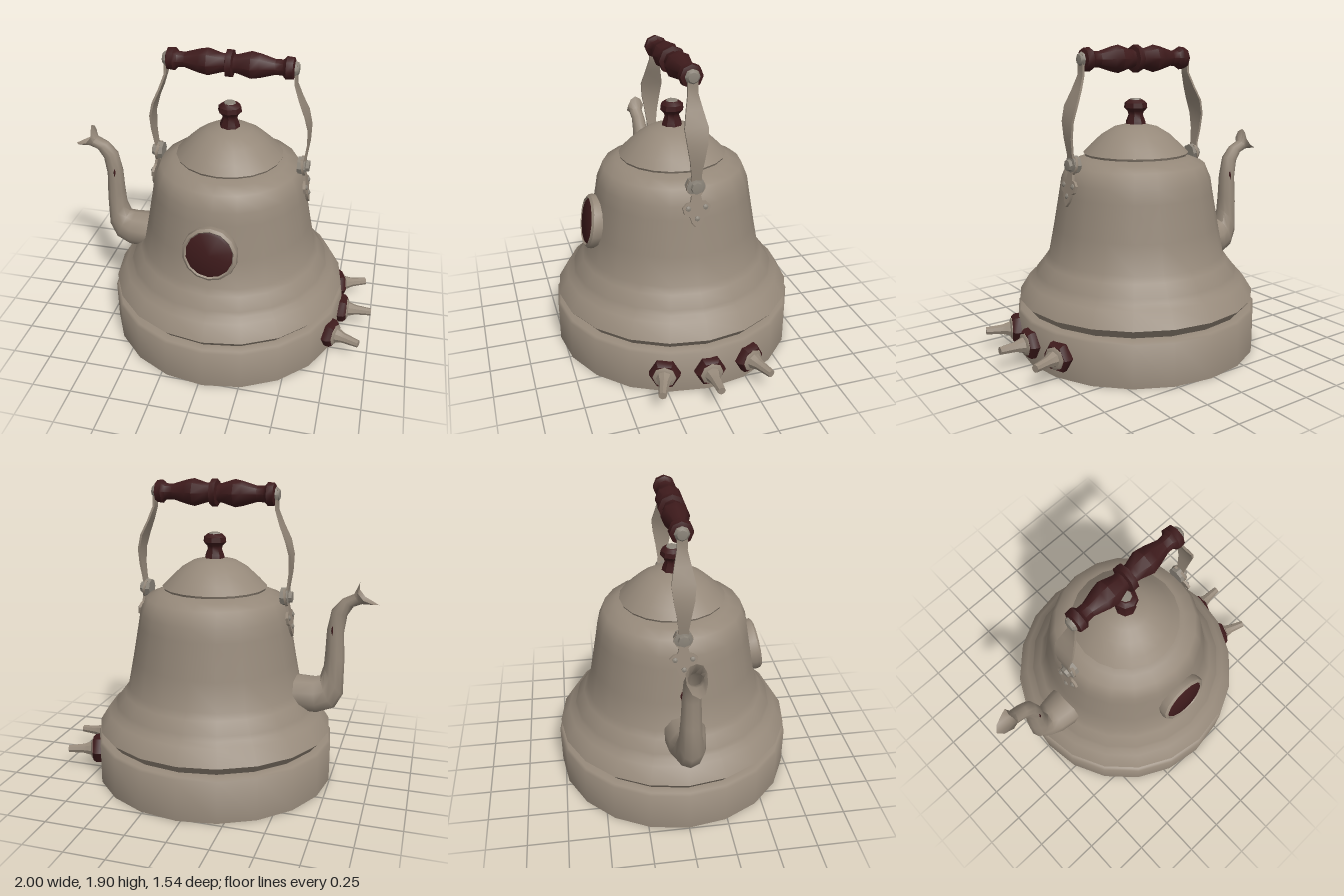
import * as THREE from 'three';
import { toCreasedNormals } from 'three/addons/utils/BufferGeometryUtils.js';

const enamel = new THREE.MeshStandardMaterial({ color: 0x96897a, side: THREE.DoubleSide });
const wood = new THREE.MeshStandardMaterial({ color: 0x3d1a1b });
const steel = new THREE.MeshStandardMaterial({ color: 0x8c857a });

function add(parent, name, geometry, material, crease = 0.7) {
  const mesh = new THREE.Mesh(toCreasedNormals(geometry, crease), material);
  mesh.name = name;
  parent.add(mesh);
  return mesh;
}

function group(parent, name) {
  const g = new THREE.Group();
  g.name = name;
  parent.add(g);
  return g;
}

// Profile is a list of [radius, height], bottom to top
function lathe(profile, sides) {
  return new THREE.LatheGeometry(profile.map(([r, y]) => new THREE.Vector2(r, y)), sides);
}

// Skin a series of rings that all have the same number of points
function loft(rings, capped) {
  const n = rings[0].length, index = [];
  for (let i = 0; i < rings.length - 1; i++) {
    for (let j = 0; j < n; j++) {
      const a = i * n + j, b = i * n + (j + 1) % n;
      index.push(a, b, a + n, b, b + n, a + n);
    }
  }
  if (capped) {
    const e = (rings.length - 1) * n;
    for (let j = 1; j < n - 1; j++) index.push(0, j + 1, j, e, e + j, e + j + 1);
  }
  const g = new THREE.BufferGeometry();
  g.setAttribute('position', new THREE.Float32BufferAttribute(rings.flat(2), 3));
  g.setIndex(index);
  g.computeVertexNormals();
  return g;
}

// Spout: each row is [outer x, outer y, inner x, inner y, half width]
function spoutGeometry() {
  const rows = [
    [-0.46, 0.45, -0.46, 0.7, 0.13], [-0.57, 0.47, -0.53, 0.7, 0.13],
    [-0.66, 0.465, -0.63, 0.7, 0.115], [-0.76, 0.505, -0.665, 0.71, 0.09],
    [-0.81, 0.6, -0.685, 0.78, 0.072], [-0.81, 0.82, -0.69, 0.87, 0.062],
    [-0.8, 1.0, -0.695, 1.01, 0.055], [-0.815, 1.11, -0.72, 1.14, 0.05],
    [-0.85, 1.165, -0.78, 1.21, 0.045], [-0.9, 1.185, -0.85, 1.245, 0.045],
    [-1.0, 1.185, -0.885, 1.325, 0.06],
  ];
  const sides = 10;
  return loft(rows.map(([ox, oy, ix, iy, w], k) => {
    const dip = k === rows.length - 1 ? 0.055 : 0; // the mouth is cut back at its sides
    return Array.from({ length: sides }, (_, j) => {
      const a = j / sides * Math.PI * 2, c = Math.cos(a), s = Math.sin(a);
      return [(ox + ix) / 2 + (ox - ix) / 2 * c + dip * s * s - 0.025,
        (oy + iy) / 2 + (oy - iy) / 2 * c - dip * 0.3 * s * s, w * s];
    });
  }), false);
}

// One side of the carrying handle, on +x
function handleSide(parent, name) {
  const side = group(parent, name);

  const t = 0.007;
  const strap = [[0.392, 1.85, 0.03], [0.39, 1.79, 0.03], [0.392, 1.73, 0.03], [0.425, 1.64, 0.05],
    [0.465, 1.55, 0.07], [0.488, 1.46, 0.06], [0.487, 1.36, 0.042], [0.475, 1.27, 0.03], [0.462, 1.18, 0.035]];
  add(side, 'strap', loft(strap.map(([x, y, w]) =>
    [[x - t, y, -w], [x + t, y, -w], [x + t, y, w], [x - t, y, w]]), true), enamel);

  const bolt = add(side, 'gripBolt', lathe([[0, -0.03], [0.045, -0.03], [0.045, 0.005], [0.03, 0.022], [0, 0.026]], 8), steel);
  bolt.rotation.z = -Math.PI / 2;
  bolt.position.set(0.385, 1.82, 0);

  // Bracket plate lying against the wall
  const bracket = group(side, 'bracket');
  bracket.position.set(0.472, 1.1, 0);
  bracket.rotation.z = 0.17;
  const half = [[0.035, 0.15], [0.057, 0.11], [0.055, 0.08], [0.028, 0.045], [0.035, 0.01], [0.06, 0.005],
    [0.085, -0.02], [0.075, -0.06], [0.045, -0.075], [0.03, -0.12], [0, -0.155]];
  const outline = [...half, ...half.slice(0, -1).reverse().map(([z, y]) => [-z, y])];
  const plate = add(bracket, 'bracketPlate', new THREE.ExtrudeGeometry(
    new THREE.Shape(outline.map(([z, y]) => new THREE.Vector2(z, y))), { depth: 0.016, bevelEnabled: false }), enamel);
  plate.rotation.y = Math.PI / 2;
  for (const [y, z, r] of [[-0.025, 0.052, 0.016], [-0.025, -0.052, 0.016], [-0.09, 0, 0.016]]) {
    const rivet = add(bracket, 'rivet', lathe([[r, 0], [r, 0.022], [0, 0.03]], 8), steel);
    rivet.rotation.z = -Math.PI / 2;
    rivet.position.set(0, y, z);
  }
  const pivot = add(side, 'pivot', lathe(
    [[0, -0.03], [0.055, -0.03], [0.057, 0.018], [0.036, 0.022], [0.034, 0.042], [0, 0.046]], 8), steel);
  pivot.rotation.z = -Math.PI / 2;
  pivot.position.set(0.458, 1.2, 0);
  return side;
}

export function createModel() {
  const model = new THREE.Group();
  model.name = 'kettle';
  const k = group(model, 'kettleParts');
  k.position.x = 0.025;

  // Body with its base band and rolled collar
  add(k, 'body', lathe([[0, 0], [0.77, 0], [0.77, 0.262], [0.755, 0.275], [0.71, 0.282], [0.757, 0.338],
    [0.695, 0.437], [0.655, 0.46], [0.645, 0.49], [0.59, 0.56], [0.562, 0.6], [0.527, 0.78], [0.488, 1.0], [0.475, 1.08],
    [0.435, 1.175], [0.36, 1.205], [0.3, 1.222], [0, 1.222]], 20), enamel, 0.9);

  // Lid and its knob
  add(k, 'lid', lathe([[0, 1.228], [0.325, 1.228], [0.332, 1.242], [0.28, 1.295], [0.215, 1.355],
    [0.14, 1.4], [0.06, 1.42], [0, 1.422]], 20), enamel);
  add(k, 'lidKnob', lathe([[0.068, 1.4], [0.06, 1.44], [0.046, 1.475], [0.05, 1.495],
    [0.074, 1.52], [0.07, 1.55], [0.045, 1.57], [0, 1.57]], 8), wood);
  add(k, 'lidKnobCap', lathe([[0.04, 1.565], [0.034, 1.577], [0, 1.579]], 8), steel);

  // Spout with a small wooden inlay on both cheeks
  add(k, 'spout', spoutGeometry(), enamel, 0.9);
  const inlay = add(k, 'spoutInlay', new THREE.SphereGeometry(1, 8, 6), wood);
  inlay.scale.set(0.014, 0.055, 0.062);
  inlay.position.set(-0.76, 1.015, 0);

  // Round badge on the front wall
  const badge = group(k, 'badge');
  badge.position.set(0, 0.83, 0.515);
  badge.rotation.x = Math.PI / 2 - 0.175;
  add(badge, 'badgeFrame', lathe([[0.16, -0.05], [0.172, 0.01], [0.168, 0.035], [0.152, 0.048], [0.138, 0.03]], 14), enamel);
  add(badge, 'badgeFace', lathe([[0.147, 0.036], [0.13, 0.046], [0, 0.056]], 14), wood);

  // Turned wooden grip
  const halfGrip = [[0.085, 0], [0.085, 0.018], [0.058, 0.025], [0.06, 0.05], [0.085, 0.13], [0.075, 0.18],
    [0.048, 0.27], [0.05, 0.315], [0.072, 0.335], [0.068, 0.375], [0.04, 0.385], [0, 0.385]];
  const gripProfile = [...halfGrip.slice(1).reverse().map(([r, y]) => [r, -y]), ...halfGrip];
  const grip = add(k, 'grip', lathe(gripProfile, 8), wood, 0.8);
  grip.rotation.z = -Math.PI / 2;
  grip.position.y = 1.82;

  handleSide(k, 'leftHandleSide');
  handleSide(k, 'rightHandleSide').rotation.y = Math.PI;

  // Three control knobs fanned around the base
  for (const i of [-1, 0, 1]) {
    const fan = group(k, 'controlKnob');
    fan.rotation.y = i * 0.35;
    const axis = group(fan, 'knobAxis');
    axis.rotation.z = -Math.PI / 2;
    axis.position.set(0.765, 0.14, 0);
    add(axis, 'knobCollar', lathe([[0.08, -0.05], [0.095, 0], [0.093, 0.03], [0.078, 0.048], [0, 0.046]], 6), wood);
    add(axis, 'knobDisc', lathe([[0.07, 0.03], [0.07, 0.052], [0.055, 0.06], [0, 0.06]], 8), enamel);
    add(axis, 'knobLever', lathe([[0.05, 0.055], [0.04, 0.085], [0.032, 0.11], [0.024, 0.21], [0, 0.21]], 8), enamel);
  }
  return model;
}
